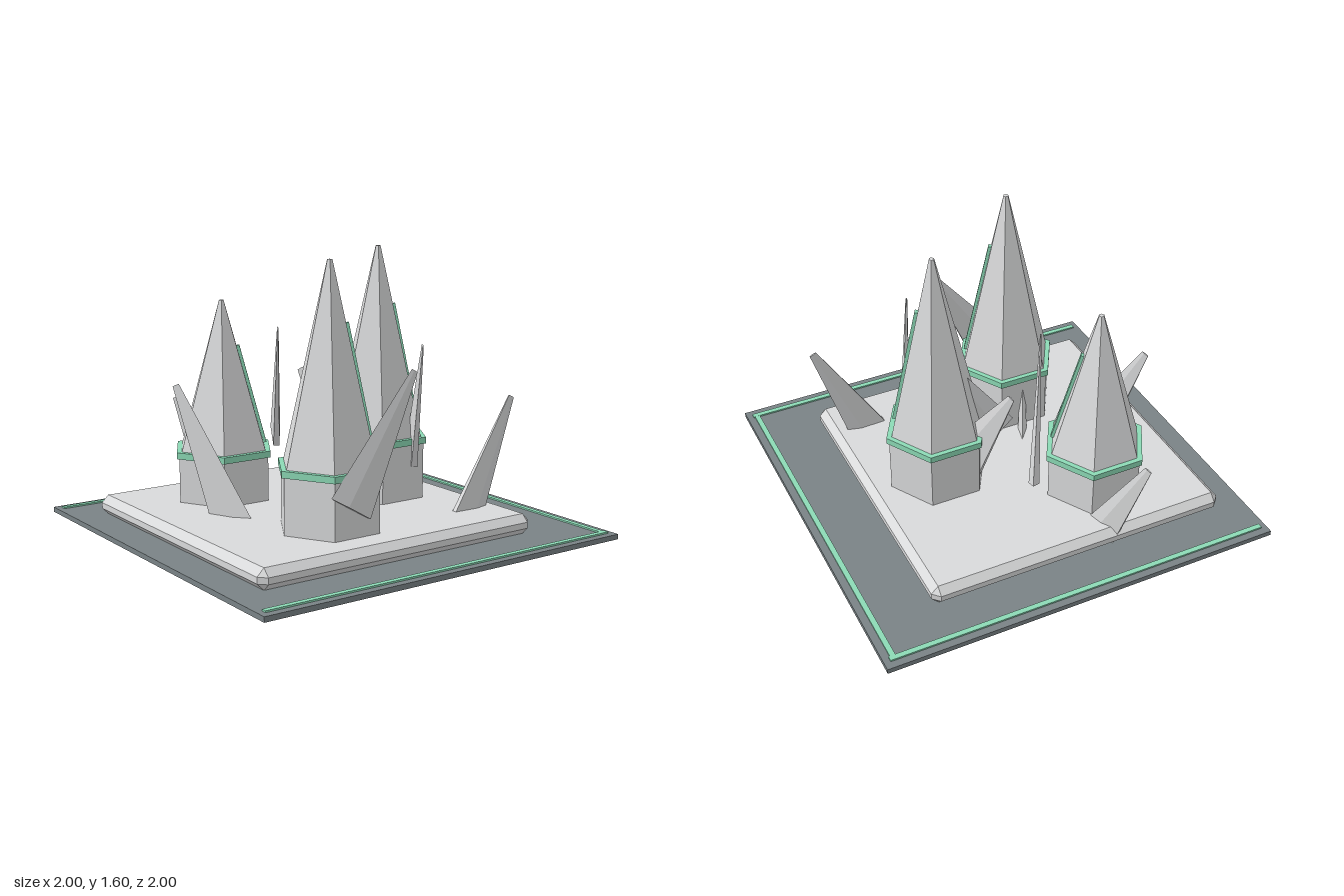
import * as THREE from 'three';
import { ConvexGeometry } from 'three/addons/geometries/ConvexGeometry.js';

const paint = (name, color) => {
  const m = new THREE.MeshStandardMaterial({ color, flatShading: true });
  m.name = name;
  return m;
};

export function createModel() {
  const model = new THREE.Group();
  const stone = paint('paleStone', 0xd9dadb);
  const slate = paint('slate', 0x7a8386);
  const mint = paint('mint', 0x8cdab6);

  const add = (name, geometry, material, x = 0, y = 0, z = 0, parent = model) => {
    const mesh = new THREE.Mesh(geometry, material);
    mesh.name = name;
    mesh.position.set(x, y, z);
    parent.add(mesh);
    return mesh;
  };

  // Ground plate with trim on three sides
  add('groundPlate', new THREE.BoxGeometry(2, 0.025, 2), slate, 0, 0.26, 0);
  for (const s of [-1, 1]) {
    add('sideTrim', new THREE.BoxGeometry(0.026, 0.009, 1.94), mint, s * 0.95, 0.276, 0);
  }
  add('backTrim', new THREE.BoxGeometry(1.92, 0.009, 0.026), mint, 0, 0.2755, -0.95);

  // Terrace slab with all edges and corners chamfered
  const [hx, hy, hz, c] = [0.76, 0.05, 0.765, 0.035];
  const corners = [];
  for (const x of [-1, 1]) for (const y of [-1, 1]) for (const z of [-1, 1]) {
    corners.push(
      new THREE.Vector3(x * hx, y * (hy - c), z * (hz - c)),
      new THREE.Vector3(x * (hx - c), y * hy, z * (hz - c)),
      new THREE.Vector3(x * (hx - c), y * (hy - c), z * hz));
  }
  add('terrace', new ConvexGeometry(corners), stone, 0, 0.32, 0.095);

  // Hexagonal towers: shaft, band, spire and a light strip up one rear face
  const tower = (x, z, bandY, peak) => {
    const g = new THREE.Group();
    g.name = 'tower';
    g.position.set(x, 0, z);
    model.add(g);
    const shaftH = bandY - 0.35;
    const h = peak - bandY;
    add('shaft', new THREE.CylinderGeometry(0.25, 0.25, shaftH, 6), stone, 0, 0.35 + shaftH / 2, 0, g);
    add('band', new THREE.CylinderGeometry(0.263, 0.263, 0.032, 6), mint, 0, bandY, 0, g);
    add('spire', new THREE.CylinderGeometry(0.013, 0.24, h, 6), stone, 0, bandY + h / 2, 0, g);
    const at = (t) => {
      const r = (0.24 - 0.227 * t) * 0.866 + 0.004;
      return new THREE.Vector3(r * 0.5, bandY + h * t, -r * 0.866);
    };
    const low = at(0.045), high = at(0.7);
    const strip = add('lightStrip', new THREE.BoxGeometry(0.026, 0.022, low.distanceTo(high)), mint, 0, 0, 0, g);
    strip.position.copy(low).add(high).multiplyScalar(0.5);
    const axis = high.clone().sub(low).normalize();
    const side = new THREE.Vector3(0.866, 0, 0.5);
    strip.quaternion.setFromRotationMatrix(
      new THREE.Matrix4().makeBasis(side, axis.clone().cross(side), axis));
  };
  tower(0, -0.31, 0.662, 1.61);
  tower(0.385, 0.25, 0.655, 1.6);
  tower(-0.39, 0.35, 0.605, 1.35);

  // Flat five-sided shards, from base centre to tip, broad in the plane they lean in
  const shard = (base, tip, sharpSide = -1) => {
    const a = new THREE.Vector3(...base), b = new THREE.Vector3(...tip);
    const axis = b.clone().sub(a);
    const geo = new THREE.CylinderGeometry(0.02, 0.132, axis.length(), 5);
    geo.rotateY(sharpSide * Math.PI / 2).scale(1, 1, 0.2);
    const mesh = add('shard', geo, stone);
    mesh.position.copy(a).add(b).multiplyScalar(0.5);
    axis.normalize();
    const thin = axis.clone().cross(new THREE.Vector3(0, 1, 0)).normalize();
    mesh.quaternion.setFromRotationMatrix(
      new THREE.Matrix4().makeBasis(axis.clone().cross(thin), axis, thin));
  };
  shard([-0.57, 0.055, 0.195], [-0.868, 0.795, 0.352]);
  shard([0, 0.225, 0.5], [-0.295, 0.975, 0.665]);
  shard([0.51, 0.165, -0.39], [0.51, 0.895, -0.74], 1);
  shard([0.615, 0.51, 0.29], [0.61, 1.1, -0.06]);
  shard([-0.53, 0.62, -0.05], [-0.225, 1.21, 0.13]);
  shard([0.14, 0.58, -0.42], [0.385, 1.165, -0.285]);
  shard([-0.06, 0.41, -0.215], [-0.335, 0.98, -0.075]);
  shard([-0.05, 0.555, -0.04], [-0.05, 1.1, -0.31]);
  shard([0.12, 0.26, 0.22], [0.36, 0.88, 0.34]);

  return model;
}
